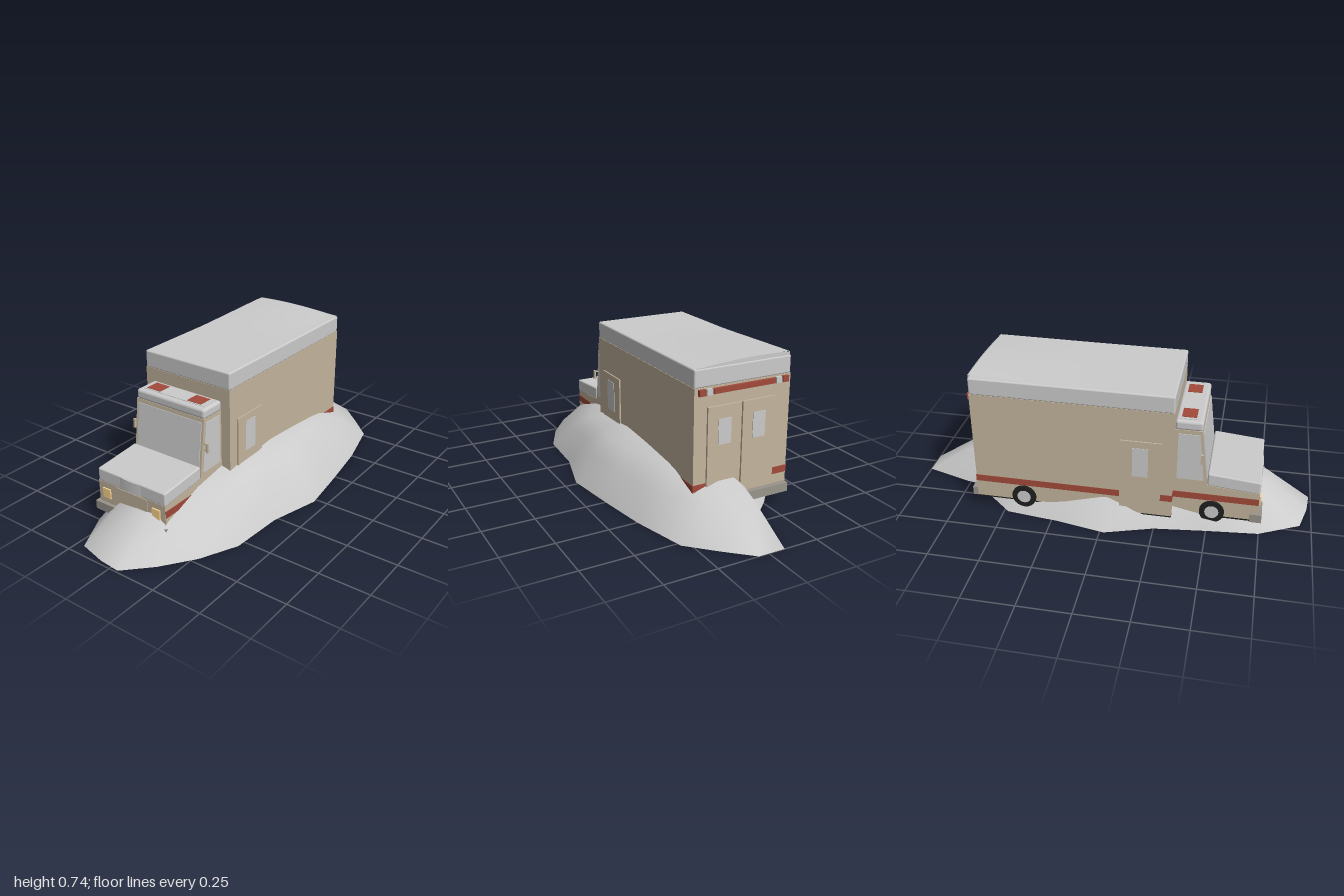
import * as THREE from 'three';
import { RoundedBoxGeometry } from 'three/addons/geometries/RoundedBoxGeometry.js';

const mat = (color, side = THREE.FrontSide) => new THREE.MeshStandardMaterial({ color, side });

export function createModel() {
  const grey = mat(0xcccccc), paint = mat(0xc4b59e), red = mat(0xa24a3a);
  const black = mat(0x202020), lamp = mat(0xffd890);
  const model = new THREE.Group();
  const MID = -0.095; // centre line of the vehicle

  const add = (name, geometry, material, parent = model) => {
    const mesh = new THREE.Mesh(geometry, material);
    mesh.name = name;
    parent.add(mesh);
    return mesh;
  };
  // box given by its limits on each axis
  const box = (name, material, [x0, x1], [y0, y1], [z0, z1]) => {
    const mesh = add(name, new THREE.BoxGeometry(x1 - x0, y1 - y0, z1 - z0), material);
    mesh.position.set((x0 + x1) / 2, (y0 + y1) / 2, (z0 + z1) / 2);
    return mesh;
  };
  // side profile of [z, y] points, extruded across the width
  const profile = (name, material, points, x0, x1) => {
    const shape = new THREE.Shape(points.map(([z, y]) => new THREE.Vector2(z, y)));
    const geometry = new THREE.ExtrudeGeometry(shape, { depth: x1 - x0, bevelEnabled: false });
    geometry.rotateY(-Math.PI / 2).translate(x1, 0, 0);
    return add(name, geometry, material);
  };

  // Snow mound: an open dome of rings scaled down from an irregular rim
  const rim = [
    [-0.08, -1], [0.05, -1], [0.17, -0.89], [0.29, -0.77], [0.36, -0.5], [0.4, -0.25],
    [0.437, 0.02], [0.37, 0.27], [0.355, 0.54], [0.27, 0.72], [0.16, 0.87], [0.04, 0.99],
    [-0.07, 0.98], [-0.21, 0.945], [-0.31, 0.75], [-0.335, 0.5], [-0.365, 0.25], [-0.44, 0.02],
    [-0.395, -0.22], [-0.365, -0.48], [-0.26, -0.6], [-0.165, -0.69], [-0.15, -0.77],
  ];
  const rings = [[1, 0], [0.8, 0.135], [0.6, 0.208], [0.36, 0.25], [0.15, 0.266], [0, 0.27]];
  const n = rim.length, positions = [], index = [];
  rings.forEach(([f, y], r) => rim.forEach(([x, z], i) => {
    positions.push(x * f, y, z * f);
    if (r === rings.length - 1) return;
    const a = r * n + i, b = r * n + (i + 1) % n;
    index.push(a, a + n, b);
    if (r < rings.length - 2) index.push(b, a + n, b + n);
  }));
  const dome = new THREE.BufferGeometry();
  dome.setAttribute('position', new THREE.Float32BufferAttribute(positions, 3));
  dome.setIndex(index);
  dome.computeVertexNormals();
  add('mound', dome, mat(0xcccccc, THREE.DoubleSide));

  // Rear compartment with a roof that swells toward the back
  box('compartment', paint, [-0.345, 0.155], [0.07, 0.637], [-0.635, 0.33]);
  const roof = new RoundedBoxGeometry(0.5, 0.085, 0.965, 3, 0.008);
  roof.translate(MID, 0.6775, -0.1525);
  const swell = (x, z) => 0.019 * THREE.MathUtils.clamp((-z - 0.1) / 0.5, 0, 1)
    * Math.max(0.15, Math.cos((x + 0.19) * 4.5));
  const panel = new THREE.PlaneGeometry(0.486, 0.952, 16, 12);
  panel.rotateX(-Math.PI / 2).translate(MID, 0.7202, -0.1525);
  const pp = panel.attributes.position;
  for (let i = 0; i < pp.count; i++) pp.setY(i, pp.getY(i) + swell(pp.getX(i), pp.getZ(i)));
  panel.computeVertexNormals();
  add('compartmentRoofBand', roof, grey);
  add('compartmentRoof', panel, mat(0xcccccc, THREE.DoubleSide));
  // rear lip closing the swollen roof
  const lip = new THREE.Shape([new THREE.Vector2(0.148, 0.7), new THREE.Vector2(-0.338, 0.7)]);
  for (let i = 0; i <= 16; i++) {
    const x = -0.338 + 0.486 * i / 16;
    lip.lineTo(x, 0.7202 + swell(x, -0.63));
  }
  add('roofLip', new THREE.ShapeGeometry(lip), mat(0xcccccc, THREE.DoubleSide)).position.z = -0.632;

  // Cab, hood and cab roof
  profile('cab', paint, [[0.32, 0.07], [0.74, 0.07], [0.74, 0.218], [0.49, 0.24],
    [0.455, 0.53], [0.32, 0.53]], -0.298, 0.105);
  const hood = new RoundedBoxGeometry(0.405, 0.066, 0.25, 3, 0.008);
  hood.translate(MID, 0.249, 0.616);
  const hp = hood.attributes.position;
  for (let i = 0; i < hp.count; i++) hp.setY(i, hp.getY(i) + (0.74 - hp.getZ(i)) * 0.09);
  add('hood', hood, grey);
  const bulge = new THREE.CylinderGeometry(0.4, 0.4, 0.06, 12, 1, false, -0.245, 0.49);
  add('hoodFrontBulge', bulge, grey).position.set(-0.0975, 0.248, 0.346);
  const cabRoof = add('cabRoof', new RoundedBoxGeometry(0.405, 0.05, 0.13, 3, 0.014), grey);
  cabRoof.position.set(MID, 0.551, 0.392);
  box('roofLightFrame', grey, [-0.275, 0.085], [0.57, 0.578], [0.345, 0.43]);
  for (const x of [-0.22, 0.022]) {
    box('roofLight', red, [x - 0.04, x + 0.04], [0.57, 0.58], [0.353, 0.422]);
  }

  // Glazing of the cab
  const screen = add('windshield', new THREE.BoxGeometry(0.377, 0.257, 0.006), grey);
  screen.position.set(MID, 0.383, 0.474);
  screen.rotation.x = -0.122;
  profile('cabSideWindows', grey, [[0.345, 0.265], [0.473, 0.265], [0.446, 0.51], [0.345, 0.51]],
    -0.301, 0.108);

  // Nose panel, headlights, bumpers and floor
  box('grille', paint, [-0.19, 0], [0.12, 0.214], [0.73, 0.743]);
  for (const x of [-0.247, 0.053]) {
    box('headlight', lamp, [x - 0.023, x + 0.023], [0.14, 0.188], [0.73, 0.747]);
  }
  box('frontBumper', grey, [-0.312, 0.12], [0.066, 0.11], [0.7, 0.757]).material = mat(0x99958c);
  box('rearBumper', mat(0x99958c), [-0.342, 0.15], [0.066, 0.11], [-0.662, -0.63]);
  box('compartmentFloor', black, [-0.343, 0.153], [0.062, 0.072], [-0.633, 0.33]);
  box('cabFloor', black, [-0.298, 0.105], [0.062, 0.072], [0.33, 0.738]);

  // Red belt stripe round compartment and cab
  box('compartmentStripe', red, [-0.347, 0.157], [0.156, 0.19], [-0.637, 0.332]);
  box('cabStripe', red, [-0.3, 0.107], [0.156, 0.19], [0.33, 0.738]);

  // Side doors, mirrors and wheels, mirrored about the centre line
  for (const s of [-1, 1]) {
    const span = (a, b) => [MID + s * a, MID + s * b].sort((p, q) => p - q);
    box('sideDoor', paint, span(0.24, 0.257), [0.105, 0.475], [0.08, 0.275]);
    box('sideDoorWindow', grey, span(0.25, 0.2595), [0.285, 0.44], [0.14, 0.215]);
    box('mirror', paint, span(0.216, 0.226), [0.37, 0.416], [0.455, 0.468]);
    for (const y of [0.378, 0.41]) {
      box('mirrorArm', paint, span(0.195, 0.218), [y - 0.003, y + 0.003], [0.455, 0.462]);
    }
    for (const [z, outer] of [[0.52, 0.212], [-0.395, 0.26]]) {
      const wheel = new THREE.Group();
      wheel.name = 'wheel';
      wheel.position.set(MID + s * (outer - 0.035), 0.095, z);
      wheel.rotation.z = Math.PI / 2;
      add('tyre', new THREE.CylinderGeometry(0.06, 0.06, 0.07, 20), black, wheel);
      add('hub', new THREE.CylinderGeometry(0.034, 0.034, 0.074, 16), grey, wheel);
      model.add(wheel);
    }
    // rear doors
    const c = -0.086 + s * 0.09;
    box('rearDoor', paint, [c - 0.086, c + 0.086], [0.115, 0.545], [-0.645, -0.63]);
    box('rearDoorWindow', grey, [c - 0.033, c + 0.033], [0.365, 0.485], [-0.648, -0.64]);
    box('rearLamp', grey, span(0.165, 0.195), [0.602, 0.63], [-0.65, -0.63]);
    box('rearEndLamp', red, span(0.2, 0.232), [0.602, 0.63], [-0.65, -0.63]);
  }
  box('rearLightBar', red, [-0.255, 0.065], [0.604, 0.628], [-0.65, -0.63]);
  return model;
}
